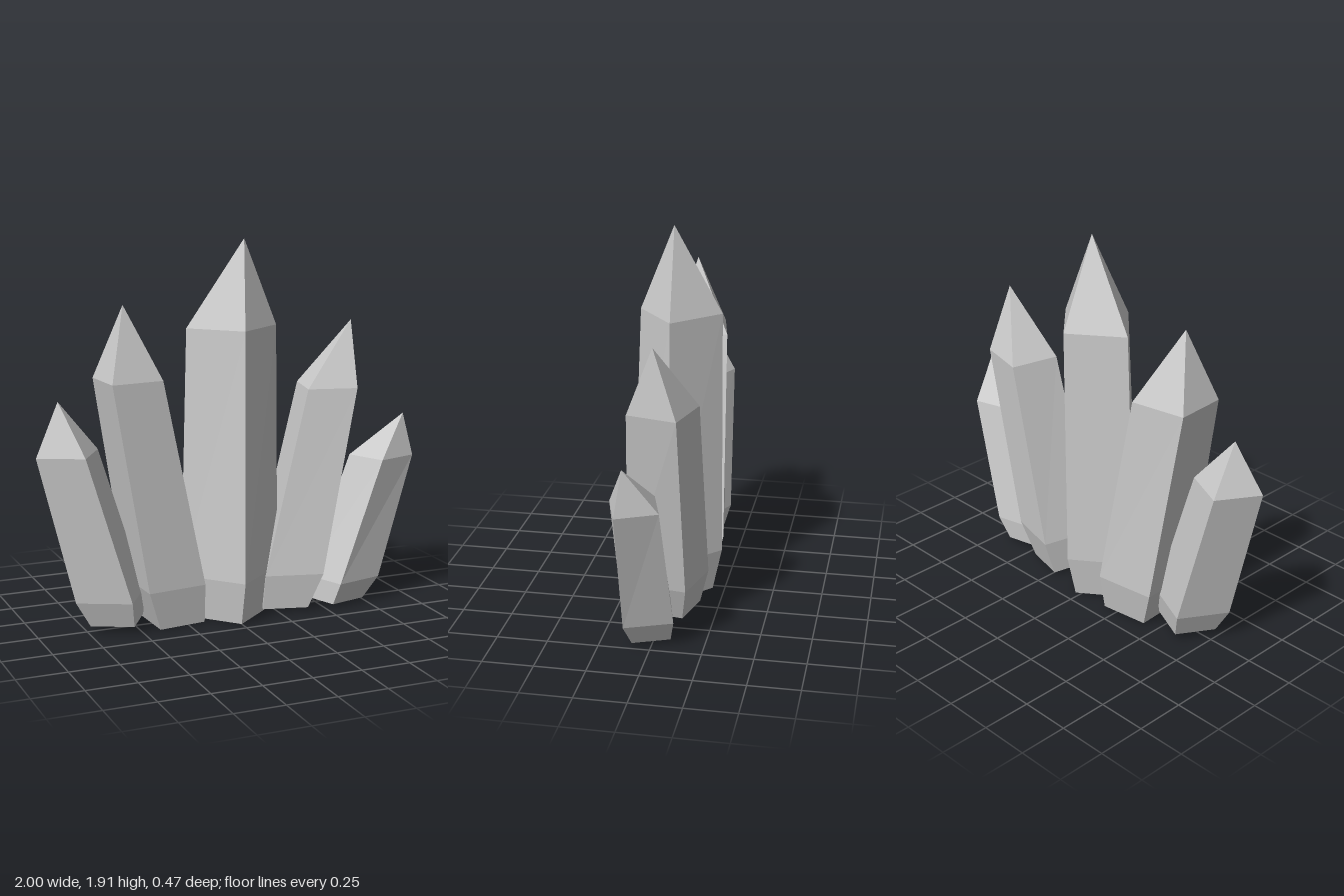
import * as THREE from 'three';

// Each crystal is a tilted four-sided shaft with a tapered foot and a pointed tip.
// Corners [x, z] run front, right, back, left; foot gives centre x, z, y and taper.
const CRYSTALS = [
  {
    name: 'outerRightCrystal', tip: [-0.87, 1.16, -0.02], lowY: 0.17, highY: 0.905,
    low: [[-0.57, 0.17], [-0.43, -0.06], [-0.68, -0.175], [-0.82, 0.05]],
    high: [[-0.785, 0.14], [-0.66, -0.06], [-0.875, -0.16], [-1.0, 0.04]],
    foot: { x: -0.592, y: 0.04, taper: 0.78 },
  },
  {
    name: 'innerRightCrystal', tip: [-0.54, 1.61, -0.01], lowY: 0.2, highY: 1.245,
    low: [[-0.47, 0.14], [-0.16, 0.1], [-0.175, -0.21], [-0.485, -0.17]],
    high: [[-0.64, 0.12], [-0.37, 0.085], [-0.375, -0.19], [-0.655, -0.14]],
    foot: { x: -0.287, y: 0, taper: 0.8 },
  },
  {
    name: 'centreCrystal', tip: [0.09, 1.91, 0], lowY: 0.22, highY: 1.475,
    low: [[0, 0.235], [0.28, 0], [0.035, -0.235], [-0.24, -0.03]],
    high: [[0.02, 0.18], [0.27, -0.01], [0.05, -0.23], [-0.2, -0.045]],
    foot: { x: 0.015, y: 0, taper: 0.8 },
  },
  {
    name: 'innerLeftCrystal', tip: [0.69, 1.48, -0.01], lowY: 0.2, highY: 1.145,
    low: [[0.175, 0.09], [0.465, 0.165], [0.515, -0.13], [0.245, -0.2]],
    high: [[0.42, 0.06], [0.667, 0.12], [0.73, -0.125], [0.475, -0.19]],
    foot: { x: 0.307, y: 0.02, taper: 0.78 },
  },
  {
    name: 'outerLeftCrystal', tip: [0.955, 0.99, 0.08], lowY: 0.135, highY: 0.77,
    low: [[0.56, 0.175], [0.81, 0.115], [0.72, -0.11], [0.47, -0.05]],
    high: [[0.79, 0.175], [1.0, 0.11], [0.91, -0.08], [0.7, -0.02]],
    foot: { x: 0.6, y: 0.02, taper: 0.78 },
  },
];

function crystalGeometry({ tip, lowY, highY, low, high, foot }) {
  const centre = [0, 1].map((k) => low.reduce((sum, c) => sum + c[k] / low.length, 0));
  const base = low.map(([x, z]) => [
    foot.x + (x - centre[0]) * foot.taper,
    foot.y,
    centre[1] * foot.taper + (z - centre[1]) * foot.taper,
  ]);
  const lift = (ring, y) => ring.map(([x, z]) => [x, y, z]);
  const rings = [base, lift(low, lowY), lift(high, highY)];
  const positions = [];
  const triangle = (a, b, c) => positions.push(...a, ...b, ...c);

  for (let i = 0; i < 4; i++) {
    const j = (i + 1) % 4;
    // foot and shaft sides
    for (let r = 0; r < 2; r++) {
      const [lower, upper] = [rings[r], rings[r + 1]];
      triangle(lower[i], lower[j], upper[j]);
      triangle(lower[i], upper[j], upper[i]);
    }
    // pointed tip
    triangle(rings[2][i], rings[2][j], tip);
  }
  // closed underside
  triangle(base[0], base[2], base[1]);
  triangle(base[0], base[3], base[2]);

  const geometry = new THREE.BufferGeometry();
  geometry.setAttribute('position', new THREE.Float32BufferAttribute(positions, 3));
  geometry.computeVertexNormals();
  return geometry;
}

export function createModel() {
  const group = new THREE.Group();
  group.name = 'crystalCluster';
  const material = new THREE.MeshStandardMaterial({ color: 0xcccccc, flatShading: true });
  for (const crystal of CRYSTALS) {
    const mesh = new THREE.Mesh(crystalGeometry(crystal), material);
    mesh.name = crystal.name;
    group.add(mesh);
  }
  return group;
}
